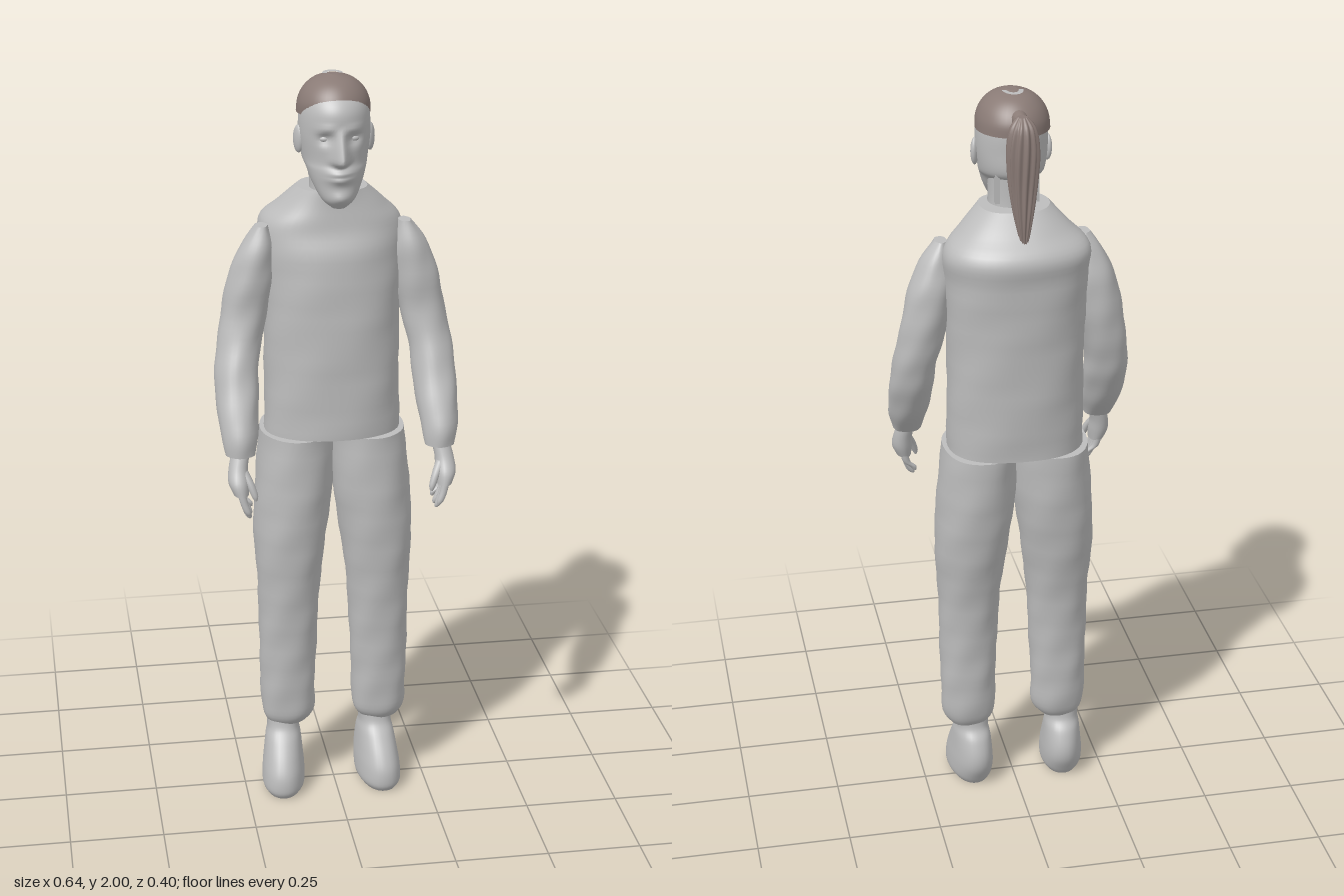
import * as THREE from 'three';

const grey = new THREE.MeshStandardMaterial({ color: 0xbcbcbc });
grey.name = 'plainGrey';
const brown = new THREE.MeshStandardMaterial({ color: 0x8a7b76 });
brown.name = 'hairBrown';

// Catmull-Rom blend of four numbers
function blend(a, b, c, d, t) {
  const cubic = 3 * (b - c) + d - a;
  const square = 2 * a - 5 * b + 4 * c - d;
  return b + 0.5 * t * (c - a + t * (square + t * cubic));
}

// Smooth loft through horizontal sections [y, centreX, centreZ, radiusX, radiusZ], lowest first
function loft(sections, { seg = 28, steps = 5, power = 2, side = 1, deform = null } = {}) {
  const rings = [];
  const last = sections.length - 1;
  for (let r = 0; r <= last * steps; r++) {
    const i = Math.min(Math.floor(r / steps), last - 1);
    const p0 = sections[Math.max(i - 1, 0)], p1 = sections[i];
    const p2 = sections[i + 1], p3 = sections[Math.min(i + 2, last)];
    const t = r / steps - i;
    rings.push(p1.map((v, c) => blend(p0[c], v, p2[c], p3[c], t)));
  }
  const pos = [], idx = [];
  const curve = (v) => Math.sign(v) * Math.abs(v) ** (2 / power);
  const addRing = ([y, cx, cz, rx, rz]) => {
    for (let i = 0; i < seg; i++) {
      const a = (i / seg) * Math.PI * 2;
      const p = new THREE.Vector3(side * cx + rx * curve(Math.cos(a)), y, cz + rz * curve(Math.sin(a)));
      if (deform) deform(p, a, cz);
      pos.push(p.x, p.y, p.z);
    }
  };
  rings.forEach(addRing);
  for (let r = 0; r < rings.length - 1; r++) {
    for (let i = 0; i < seg; i++) {
      const a = r * seg + i, b = r * seg + (i + 1) % seg;
      idx.push(a, a + seg, b, a + seg, b + seg, b);
    }
  }
  // Flat ends with their own vertices keep the rims sharp
  [rings[0], rings[rings.length - 1]].forEach((ring, top) => {
    const base = pos.length / 3;
    addRing(ring);
    pos.push(side * ring[1], ring[0], ring[2]);
    for (let i = 0; i < seg; i++) {
      const a = base + i, b = base + (i + 1) % seg;
      if (top) idx.push(base + seg, b, a);
      else idx.push(base + seg, a, b);
    }
  });
  const g = new THREE.BufferGeometry();
  g.setAttribute('position', new THREE.Float32BufferAttribute(pos, 3));
  g.setIndex(idx);
  g.computeVertexNormals();
  return g;
}

const bump = (v, centre, width) => Math.exp(-(((v - centre) / width) ** 2));

// Nose, brow, eye sockets, lips and chin pressed into the front of the head
function shapeFace(p, a) {
  const front = Math.max(0, Math.sin(a));
  const { x, y } = p, ax = Math.abs(x);
  const slope = THREE.MathUtils.clamp((1.885 - y) / 0.075, 0, 1) * THREE.MathUtils.smoothstep(y, 1.782, 1.805);
  let dz = 0.046 * slope * bump(x, 0, 0.011 + 0.007 * slope);
  dz += 0.006 * bump(y, 1.882, 0.01) * bump(ax, 0.035, 0.025);
  dz -= 0.014 * bump(y, 1.857, 0.014) * bump(ax, 0.036, 0.018);
  dz += 0.018 * bump(y, 1.764, 0.017) * bump(x, 0, 0.03);
  dz -= 0.010 * bump(y, 1.764, 0.004) * bump(x, 0, 0.026);
  dz += 0.008 * bump(y, 1.708, 0.015) * bump(x, 0, 0.025);
  p.z += dz * Math.min(1, front * 1.3);
}

// Gentle folds in the cloth
function wrinkle(p, a) {
  const w = 0.0018 * Math.sin(p.y * 47 + 3 * a) * Math.sin(p.y * 19 - 2 * a);
  p.x += w * Math.cos(a);
  p.z += w * Math.sin(a);
}

// Strands fanning round the ponytail
function ridges(p, a, cz) {
  const k = 1 + 0.09 * Math.cos(12 * a + 14 * p.y);
  p.x *= k;
  p.z = cz + (p.z - cz) * k;
}

export function createModel() {
  const model = new THREE.Group();
  model.name = 'standingFigure';
  const add = (name, geometry, material = grey, parent = model) => {
    const m = new THREE.Mesh(geometry, material);
    m.name = name;
    parent.add(m);
    return m;
  };

  // Torso with sloping shoulders and a flat collar
  add('torso', loft([
    [1.05, 0, -0.034, 0.18, 0.135], [1.2, 0, -0.038, 0.178, 0.14], [1.38, 0, -0.043, 0.178, 0.143],
    [1.53, 0, -0.052, 0.184, 0.143], [1.61, 0, -0.064, 0.185, 0.136], [1.66, 0, -0.047, 0.14, 0.111],
    [1.71, 0, -0.022, 0.09, 0.084],
  ], { seg: 48, power: 2.3, deform: wrinkle }));

  // Neck and head
  add('neck', loft([[1.65, 0, -0.005, 0.07, 0.068], [1.72, 0, 0, 0.062, 0.064], [1.82, 0, 0, 0.064, 0.066]]));
  add('head', loft([
    [1.678, 0, 0.085, 0.018, 0.02], [1.7, 0, 0.078, 0.043, 0.043], [1.74, 0, 0.055, 0.064, 0.068],
    [1.775, 0, 0.038, 0.076, 0.085], [1.8, 0, 0.012, 0.084, 0.107], [1.86, 0, 0.01, 0.091, 0.111],
    [1.92, 0, 0.01, 0.087, 0.11], [1.96, 0, 0.008, 0.07, 0.084], [1.985, 0, 0.005, 0.035, 0.045],
  ], { seg: 80, steps: 7, deform: shapeFace }));

  // Hair cap, tie and ridged ponytail
  add('hairCap', loft([
    [1.905, 0, -0.006, 0.094, 0.104], [1.935, 0, -0.001, 0.091, 0.107], [1.965, 0, 0, 0.077, 0.091],
    [1.988, 0, 0, 0.05, 0.062], [2.0, 0, 0, 0.012, 0.016],
  ], { seg: 48 }), brown);
  const tie = add('hairTie', new THREE.CylinderGeometry(0.014, 0.024, 0.07, 16), brown);
  tie.rotation.x = -Math.PI / 2;
  tie.position.set(0, 1.948, -0.11);
  add('ponytail', loft([
    [1.63, 0, -0.158, 0.005, 0.006], [1.7, 0, -0.148, 0.02, 0.025], [1.79, 0, -0.14, 0.034, 0.034],
    [1.88, 0, -0.138, 0.04, 0.038], [1.94, 0, -0.138, 0.031, 0.03], [1.967, 0, -0.13, 0.012, 0.014],
  ], { seg: 72, deform: ridges }), brown);
  const patch = add('crownPatch', new THREE.RingGeometry(0.015, 0.027, 24, 1, 0, Math.PI));
  patch.rotation.x = -Math.PI / 2;
  patch.scale.y = 1.5;
  patch.position.set(0, 1.9985, -0.008);

  for (const side of [1, -1]) {
    const prefix = side > 0 ? 'left' : 'right';

    // Eye, ear and the loose strand behind it
    const eye = add(prefix + 'Eye', new THREE.SphereGeometry(0.012, 16, 12));
    eye.scale.set(1.2, 0.7, 0.8);
    eye.position.set(side * 0.036, 1.856, 0.093);
    const ear = add(prefix + 'Ear', new THREE.SphereGeometry(0.03, 16, 12));
    ear.scale.set(0.35, 1.2, 0.65);
    ear.rotation.y = -side * 0.4;
    ear.position.set(side * 0.092, 1.84, 0.015);
    const strand = add(prefix + 'Strand', new THREE.BoxGeometry(0.012, 0.08, 0.02));
    strand.position.set(side * 0.05, 1.765, -0.06);

    // Sleeve, bent forward at the elbow
    add(prefix + 'Sleeve', loft([
      [1.04, 0.262, 0.128, 0.038, 0.036], [1.1, 0.263, 0.098, 0.05, 0.06], [1.19, 0.261, 0.05, 0.057, 0.067],
      [1.27, 0.256, 0.018, 0.057, 0.064], [1.37, 0.236, -0.006, 0.06, 0.058], [1.48, 0.215, -0.008, 0.059, 0.059],
      [1.56, 0.198, -0.004, 0.043, 0.048], [1.615, 0.186, 0, 0.016, 0.026],
    ], { seg: 32, side, deform: wrinkle }));

    // Hand with four fingers and a thumb
    const hand = new THREE.Group();
    hand.name = prefix + 'Hand';
    model.add(hand);
    add('palm', loft([
      [0.945, 0.267, 0.165, 0.02, 0.034], [0.975, 0.272, 0.157, 0.027, 0.036],
      [1.01, 0.271, 0.143, 0.025, 0.029], [1.05, 0.262, 0.13, 0.024, 0.024],
    ], { seg: 20, side }), grey, hand);
    for (let i = 0; i < 4; i++) {
      const z = 0.141 + i * 0.016, tip = [0.9, 0.885, 0.88, 0.892][i];
      add('finger', loft([
        [tip, 0.24 + i * 0.003, z + 0.003, 0.004, 0.004], [tip + 0.012, 0.245 + i * 0.003, z + 0.003, 0.009, 0.008],
        [0.93, 0.263, z, 0.01, 0.009], [0.965, 0.27, z - 0.004, 0.011, 0.009],
      ], { seg: 12, side }), grey, hand);
    }
    add('thumb', loft([
      [0.93, 0.231, 0.184, 0.004, 0.005], [0.945, 0.234, 0.182, 0.009, 0.009],
      [0.975, 0.245, 0.172, 0.011, 0.012], [1.005, 0.26, 0.155, 0.012, 0.013],
    ], { seg: 12, side }), grey, hand);

    // Trouser leg, gathered at the ankle
    add(prefix + 'TrouserLeg', loft([
      [0.19, 0.128, -0.01, 0.052, 0.045], [0.225, 0.126, -0.01, 0.072, 0.062], [0.32, 0.127, -0.01, 0.075, 0.07],
      [0.45, 0.125, -0.009, 0.079, 0.077], [0.6, 0.122, -0.01, 0.084, 0.092], [0.75, 0.117, -0.018, 0.097, 0.115],
      [0.9, 0.104, -0.027, 0.103, 0.13], [1.05, 0.096, -0.033, 0.096, 0.134],
    ], { seg: 36, power: 2.15, side, deform: wrinkle }));

    // Rounded shoe with a flat sole
    const shoe = add(prefix + 'Shoe', loft([
      [0, 0, 0.026, 0.046, 0.086], [0.02, 0, 0.025, 0.058, 0.098], [0.06, 0, 0.014, 0.058, 0.106],
      [0.1, 0, 0.003, 0.054, 0.097], [0.145, 0, -0.006, 0.049, 0.073], [0.175, 0, -0.008, 0.044, 0.05],
      [0.21, 0, -0.01, 0.048, 0.044],
    ], { seg: 32, power: 2.2 }));
    shoe.position.x = side * 0.13 - 0.012;
    shoe.rotation.y = side * 0.12;
  }
  return model;
}
